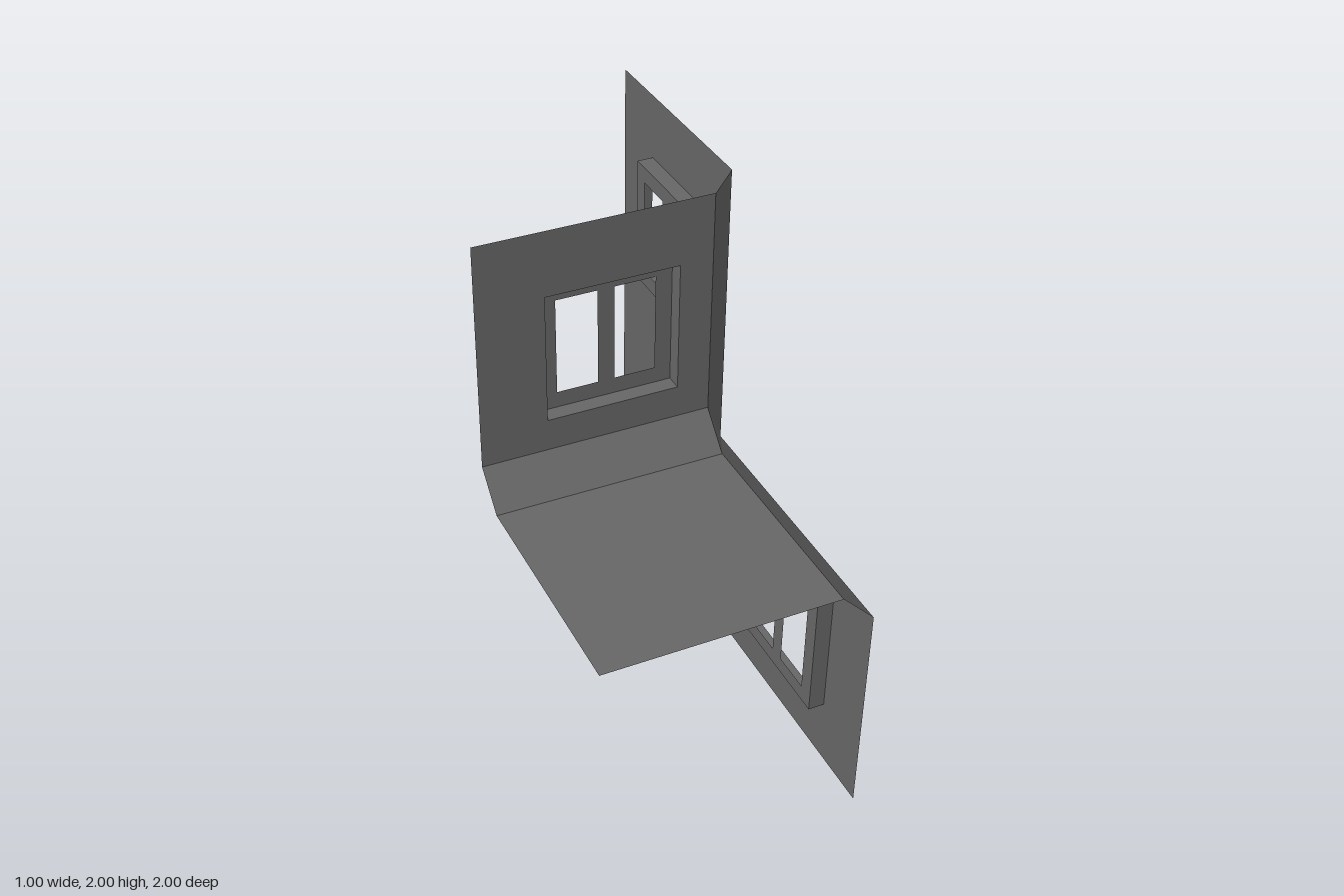
import * as THREE from 'three';

const B = 0.125;      // bevel width
const DEPTH = 0.0625; // window recess

export function createModel() {
  const model = new THREE.Group();
  model.name = 'buildingCorner';
  const wallGrey = new THREE.MeshStandardMaterial({ color: 0x666666, side: THREE.DoubleSide });
  wallGrey.name = 'wall grey';

  function add(parent, name, geometry) {
    const mesh = new THREE.Mesh(geometry, wallGrey);
    mesh.name = name;
    parent.add(mesh);
    return mesh;
  }

  // Flat convex face from corners listed counter-clockwise
  function face(...pts) {
    const tris = [];
    for (let i = 1; i < pts.length - 1; i++) tris.push(...pts[0], ...pts[i], ...pts[i + 1]);
    const g = new THREE.BufferGeometry();
    g.setAttribute('position', new THREE.Float32BufferAttribute(tris, 3));
    g.computeVertexNormals();
    return g;
  }

  const outline = (pts, T = THREE.Shape) => new T(pts.map(p => new THREE.Vector2(...p)));
  const rect = (x, y, w, h) => [
    [x - w / 2, y - h / 2], [x + w / 2, y - h / 2], [x + w / 2, y + h / 2], [x - w / 2, y + h / 2]];

  // Wall panel in its own plane, with recessed two-pane windows at the given centres
  function wall(name, pts, windows) {
    const group = new THREE.Group();
    group.name = name;
    const shape = outline(pts);
    for (const [x, y] of windows) {
      const opening = rect(x, y, 0.5, 0.5);
      shape.holes.push(outline(opening, THREE.Path));

      const frame = outline(opening);
      for (const s of [-1, 1]) {
        frame.holes.push(outline(rect(x + s * 0.109375, y, 0.15625, 0.375), THREE.Path));
      }
      add(group, 'windowFrame', new THREE.ShapeGeometry(frame)).position.z = -DEPTH;

      opening.forEach((p, i) => {
        const q = opening[(i + 1) % 4];
        add(group, 'windowReveal', face([...p, 0], [...q, 0], [...q, -DEPTH], [...p, -DEPTH]));
      });
    }
    add(group, name + 'Panel', new THREE.ShapeGeometry(shape));
    model.add(group);
    return group;
  }

  // Upper front wall
  const inner = 0.5 - B;
  wall('frontWall', [[-0.5, 1 + B], [inner, 1 + B], [inner, 2], [-0.5, 2]], [[0, 1.5]]);

  // L-shaped side wall, turned to face +x
  const side = wall('sideWall',
    [[-1, 0], [1, 0], [1, 2], [B, 2], [B, 1 - B], [-1, 1 - B]],
    [[-0.5, 0.5], [0.5, 0.5], [0.5, 1.5]]);
  side.rotation.y = Math.PI / 2;
  side.position.x = 0.5;

  // Terrace and the bevels joining it to the walls
  const top = [inner, 1 + B, 0], mid = [inner, 1, B], low = [0.5, 1 - B, -B];
  add(model, 'terrace', face([-0.5, 1, B], [-0.5, 1, 1], [inner, 1, 1], mid));
  add(model, 'terraceBevel', face([-0.5, 1 + B, 0], [-0.5, 1, B], mid, top));
  add(model, 'cornerBevel', face(top, low, [0.5, 2, -B], [inner, 2, 0]));
  add(model, 'eaveBevel', face(mid, [inner, 1, 1], [0.5, 1 - B, 1], low));
  add(model, 'cornerTriangle', face(top, mid, low));

  return model;
}
